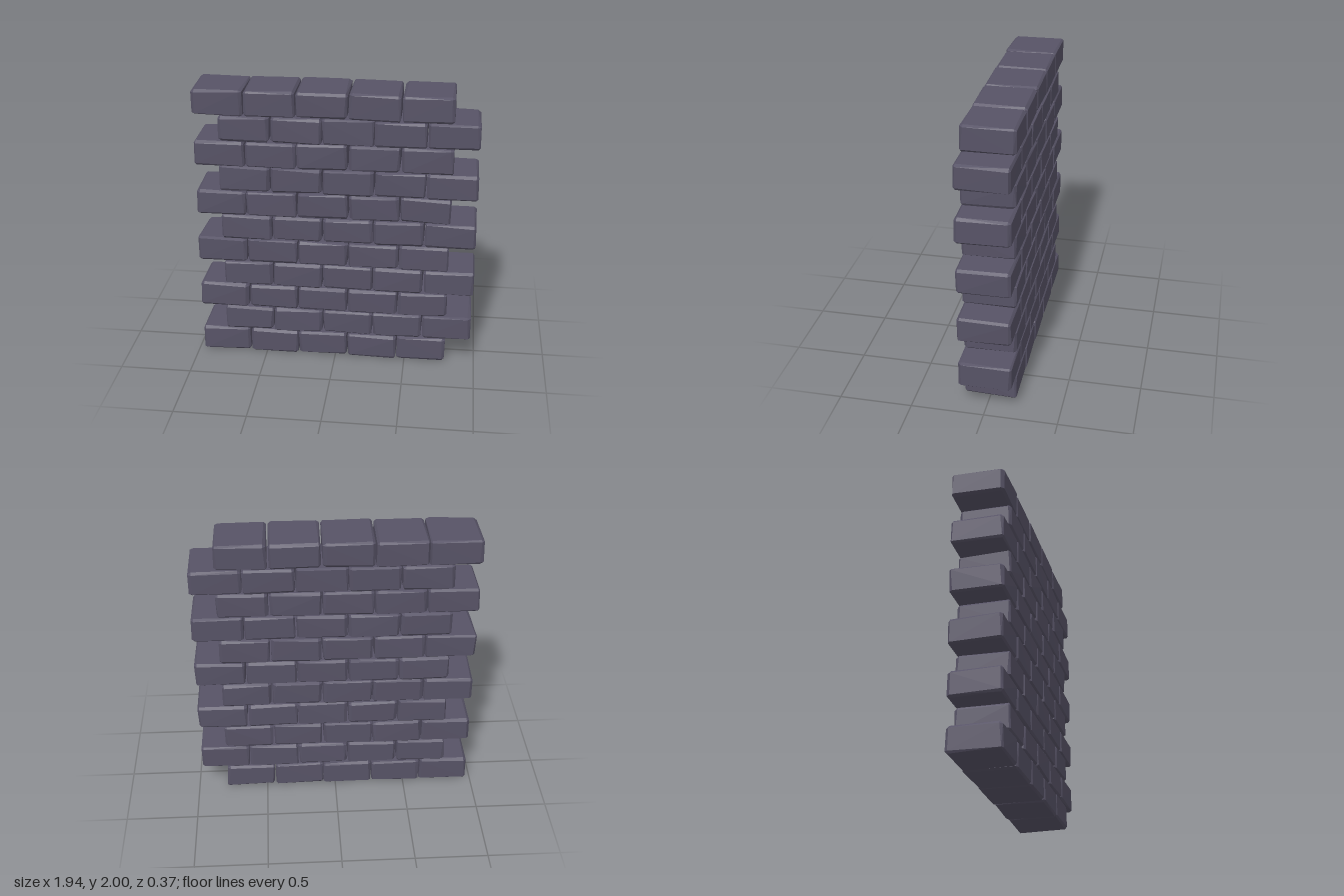
import * as THREE from 'three';
import { ConvexGeometry } from 'three/addons/geometries/ConvexGeometry.js';

const ROWS = 11, PER_ROW = 5;
const PITCH_X = 0.353, PITCH_Y = 0.1808;
const HALF = [0.172, 0.088, 0.18]; // half width, height, depth of a brick

// small seeded generator, returns -1..1
function makeRandom(seed) {
  let s = seed;
  return () => {
    s = (s * 16807) % 2147483647;
    return (s / 2147483647) * 2 - 1;
  };
}

// Box with chamfered edges: each slightly shifted corner gives three points,
// one on each of the faces that meet there.
function brickGeometry(rand) {
  const points = [];
  for (const sx of [-1, 1]) for (const sy of [-1, 1]) for (const sz of [-1, 1]) {
    const sign = [sx, sy, sz];
    const bevel = [0.017 + rand() * 0.008, 0.014 + rand() * 0.006, 0.016 + rand() * 0.007];
    const outer = HALF.map((h, i) => h + rand() * (i === 2 ? 0.003 : 0.004));
    for (let face = 0; face < 3; face++) {
      const p = outer.map((o, i) => sign[i] * (i === face ? o : o - bevel[i]));
      points.push(new THREE.Vector3(...p));
    }
  }
  return new ConvexGeometry(points);
}

export function createModel() {
  const wall = new THREE.Group();
  wall.name = 'brickWall';
  const material = new THREE.MeshStandardMaterial({ color: 0x575366, flatShading: true });
  const rand = makeRandom(4711);

  // courses in running bond, alternately shifted by half a brick
  for (let r = 0; r < ROWS; r++) {
    const course = new THREE.Group();
    course.name = `course${r + 1}`;
    course.position.set(r % 2 ? 0.088 : -0.088, 0.098 + r * PITCH_Y, 0);
    for (let i = 0; i < PER_ROW; i++) {
      const brick = new THREE.Mesh(brickGeometry(rand), material);
      brick.name = 'brick';
      brick.position.set((i - (PER_ROW - 1) / 2) * PITCH_X + rand() * 0.002, rand() * 0.002, 0);
      brick.rotation.z = rand() * 0.012;
      course.add(brick);
    }
    wall.add(course);
  }
  return wall;
}
